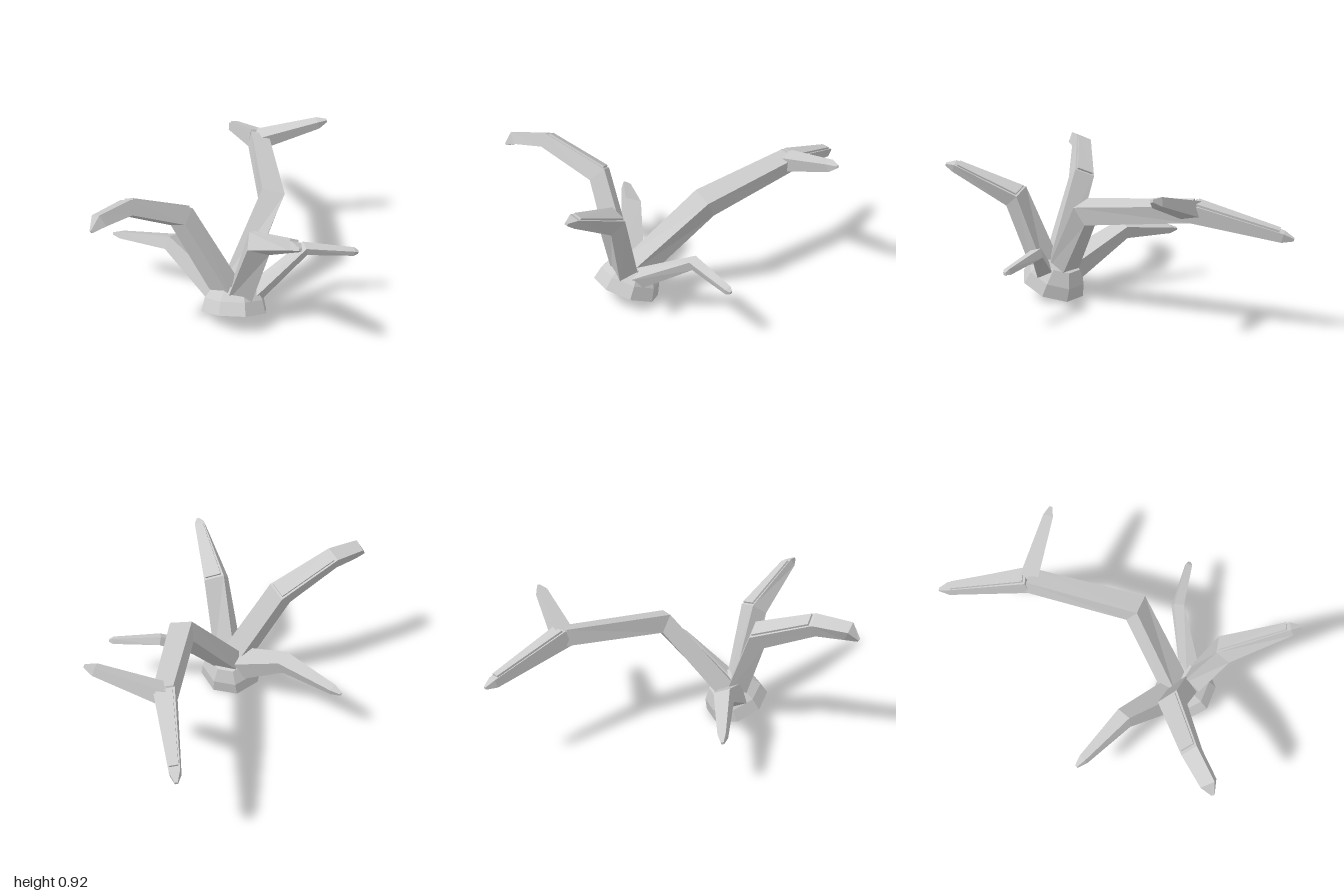
import * as THREE from 'three';

const V = (x, y, z) => new THREE.Vector3(x, y, z);

// Closed flat-shaded skin over matching rings of corners
function skin(name, rings) {
  const pts = [];
  const tri = (...corners) => corners.forEach(c => pts.push(c.x, c.y, c.z));
  const n = rings[0].length;
  for (let k = 0; k < rings.length - 1; k++) {
    const a = rings[k], b = rings[k + 1];
    for (let i = 0; i < n; i++) {
      const j = (i + 1) % n;
      tri(a[i], a[j], b[j]);
      tri(a[i], b[j], b[i]);
    }
  }
  const first = rings[0], last = rings[rings.length - 1];
  for (let i = 1; i < n - 1; i++) {
    tri(first[0], first[i + 1], first[i]);
    tri(last[0], last[i], last[i + 1]);
  }
  const geo = new THREE.BufferGeometry();
  geo.setAttribute('position', new THREE.Float32BufferAttribute(pts, 3));
  geo.computeVertexNormals();
  const mesh = new THREE.Mesh(geo, new THREE.MeshStandardMaterial({ color: 0xcccccc, flatShading: true }));
  mesh.name = name;
  return mesh;
}

// Four-sided mitred rings along a path; up sets the roll
function limbRings(path, widths, up) {
  return path.map((p, i) => {
    const t = V(0, 0, 0);
    if (i > 0) t.add(p.clone().sub(path[i - 1]).normalize());
    if (i < path.length - 1) t.add(path[i + 1].clone().sub(p).normalize());
    t.normalize();
    const s = up.clone().cross(t).normalize();
    const u = t.clone().cross(s);
    const w = widths[i] / 2, h = w * 0.85;
    return [[-w, -h], [w, -h], [w, h], [-w, h]].map(([a, b]) =>
      p.clone().addScaledVector(s, a).addScaledVector(u, b));
  });
}

// Thin raised plate on the top face between two rings
function plate(name, a, b) {
  const at = (side, k) => a[3].clone().lerp(b[3], k).lerp(a[2].clone().lerp(b[2], k), side);
  const quad = [at(0.1, 0.03), at(0.1, 0.95), at(0.9, 0.95), at(0.9, 0.03)];
  const n = quad[1].clone().sub(quad[0]).cross(quad[3].clone().sub(quad[0])).normalize();
  return skin(name, [-0.012, 0.012].map(d => quad.map(q => q.clone().addScaledVector(n, d))));
}

// Branch through the given points, ending in a short pointed tip that may droop
function branch(name, up, path, widths, { tip = 0.06, droop = 0, plated = false } = {}) {
  const end = path[path.length - 1];
  if (tip) {
    const point = end.clone().sub(path[path.length - 2]).setLength(tip).add(end);
    point.y -= droop;
    path = [...path, point];
    widths = [...widths, 0.017];
  }
  const rings = limbRings(path, widths, up);
  const group = new THREE.Group();
  group.name = name;
  group.add(skin(name + 'Limb', rings));
  if (plated) {
    const k = path.length === 3 ? 0 : 1;
    group.add(plate(name + 'Plate', rings[k], rings[k + 1]));
  }
  return group;
}

export function createModel() {
  const model = new THREE.Group();

  // Tilted eight-sided stump, cut flat underneath
  const turn = new THREE.Quaternion().setFromUnitVectors(V(0, 1, 0), V(-0.29, 1, -0.29).normalize());
  const stumpRing = (d, r) => Array.from({ length: 8 }, (_, i) => {
    const a = -(i + 0.5) * Math.PI / 4;
    return V(r * Math.cos(a), d, r * Math.sin(a)).applyQuaternion(turn).add(V(0.28, 0.08, 0.18));
  });
  model.add(skin('stump', [stumpRing(0, 0.205), stumpRing(0.08, 0.185), stumpRing(0.16, 0.13)]));

  // Long back branch and its two forks
  const fork = V(-0.42, 0.705, -0.645);
  model.add(
    branch('backBranch', V(0.25, 1, -0.1),
      [V(0.22, 0.18, 0.14), V(0.12, 0.63, -0.26), fork], [0.14, 0.14, 0.115], { tip: 0 }),
    branch('backLeftFork', V(0.2, 1, 0.1), [fork, V(-0.17, 0.82, -0.94)], [0.11, 0.06]),
    branch('backRightFork', V(0, 1, -0.15), [fork, V(-0.88, 0.59, -0.83)], [0.12, 0.06], { plated: true }));

  // Arching front branch
  model.add(branch('frontBranch', V(-0.4, 1, 0),
    [V(0.26, 0.18, 0.19), V(0.075, 0.71, 0.4), V(0.035, 0.875, 0.75), V(0.05, 0.87, 0.94)],
    [0.14, 0.13, 0.1, 0.085], { droop: 0.045, plated: true }));

  // Side branches and the small one behind
  model.add(
    branch('leftBranch', V(0, 1, -0.4),
      [V(0.32, 0.18, 0.17), V(0.5, 0.64, 0.19), V(0.87, 0.82, 0.28)], [0.14, 0.13, 0.06],
      { droop: 0.015, plated: true }),
    branch('rightBranch', V(0, 1, -0.35),
      [V(0.2, 0.16, 0.19), V(-0.18, 0.39, 0.285), V(-0.5, 0.35, 0.42)], [0.16, 0.1, 0.05]),
    branch('smallBackBranch', V(0.3, 1, 0),
      [V(0.34, 0.17, 0.12), V(0.41, 0.39, -0.27), V(0.59, 0.355, -0.51)], [0.1, 0.065, 0.04],
      { tip: 0.025 }));
  return model;
}
